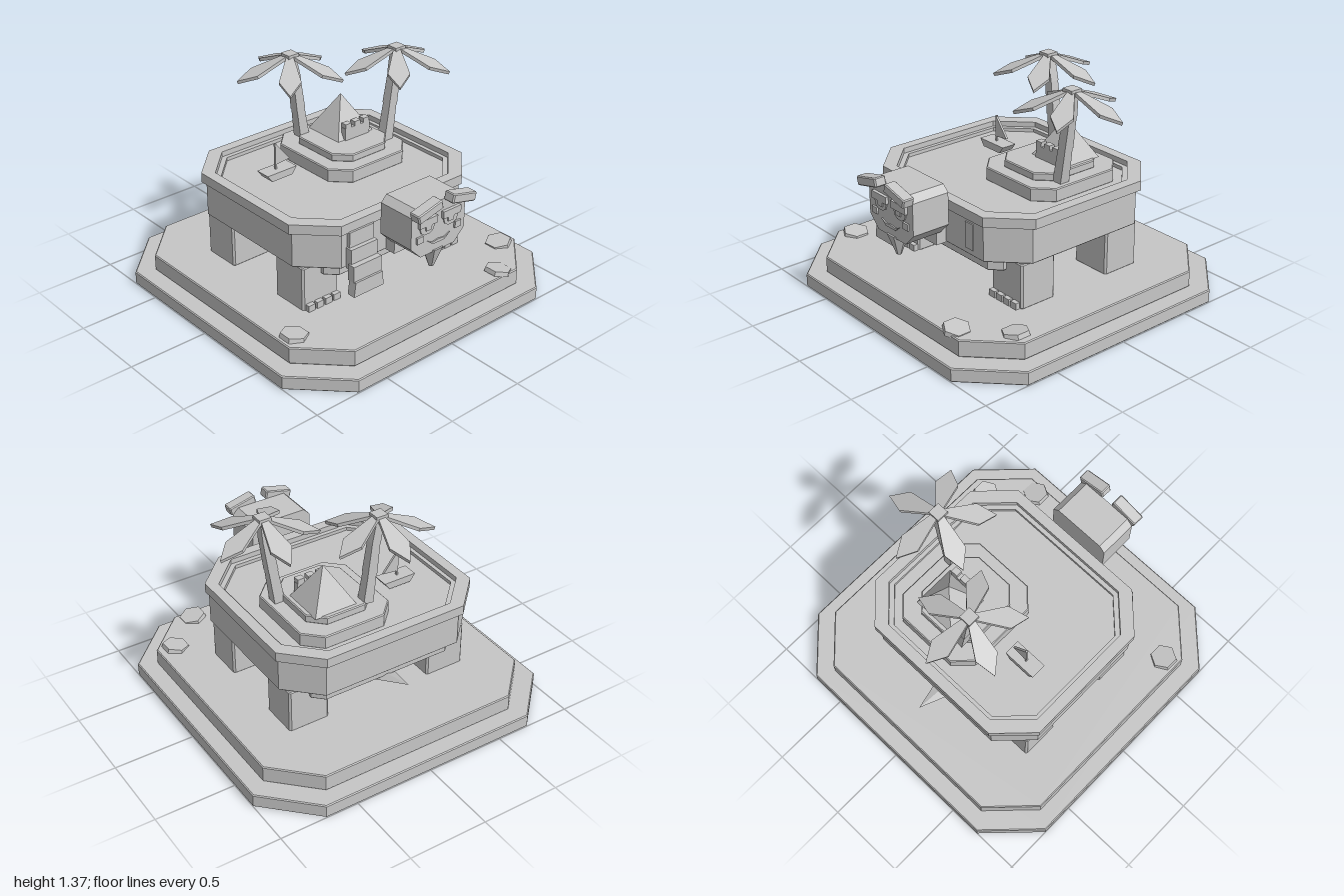
import * as THREE from 'three';

const stone = new THREE.MeshStandardMaterial({ color: 0xc6c6c6 });
stone.name = 'pale grey';

// Add a faceted mesh to a parent
function add(parent, name, geo, x = 0, y = 0, z = 0, rx = 0, ry = 0, rz = 0) {
  const g = geo.index ? geo.toNonIndexed() : geo;
  g.computeVertexNormals();
  const m = new THREE.Mesh(g, stone);
  m.name = name;
  m.position.set(x, y, z);
  m.rotation.set(rx, ry, rz);
  parent.add(m);
  return m;
}

const box = (w, h, d) => new THREE.BoxGeometry(w, h, d);
const polygon = (pts) => new THREE.Shape(pts.map(([x, y]) => new THREE.Vector2(x, y)));

// Rectangle outline with cut corners
function octPoints(w, d, c) {
  const a = w / 2, b = d / 2;
  return [[-a + c, -b], [a - c, -b], [a, -b + c], [a, b - c], [a - c, b], [-a + c, b], [-a, b - c], [-a, -b + c]];
}

// Slab with slightly bevelled edges, lying flat; optional hole
function slab(w, d, c, h, hole, bevel = 0.006) {
  const s = polygon(octPoints(w - 2 * bevel, d - 2 * bevel, c));
  if (hole) s.holes.push(polygon(octPoints(...hole).reverse()));
  const g = new THREE.ExtrudeGeometry(s, {
    depth: h - 2 * bevel, bevelEnabled: bevel > 0, bevelSize: bevel, bevelThickness: bevel, bevelSegments: 1,
  });
  g.translate(0, 0, bevel);
  return g.rotateX(-Math.PI / 2);
}

// Flat outline in the xy plane pushed out along z
const plate = (pts, depth) => new THREE.ExtrudeGeometry(polygon(pts), { depth, bevelEnabled: false });

// Palm with a three-piece leaning trunk and five drooping leaves
function palm(parent, path, z) {
  const tree = new THREE.Group();
  tree.name = 'palmTree';
  parent.add(tree);
  for (let i = 0; i < path.length - 1; i++) {
    const [x0, y0] = path[i], [x1, y1] = path[i + 1];
    const len = Math.hypot(x1 - x0, y1 - y0);
    const g = new THREE.CylinderGeometry(0.04 - i * 0.002, 0.047 - i * 0.003, len + 0.012, 4).rotateY(Math.PI / 4);
    add(tree, 'trunkSegment', g, (x0 + x1) / 2, (y0 + y1) / 2, z, 0, 0, -Math.atan2(x1 - x0, y1 - y0));
  }
  const [tx, ty] = path[path.length - 1];
  add(tree, 'crown', box(0.075, 0.035, 0.075), tx, ty, z);
  const outline = [[-0.02, 0.02], [0.02, 0.02], [0.065, 0.23], [0, 0.345], [-0.065, 0.23]];
  for (let i = 0; i < 5; i++) {
    const g = plate(outline, 0.02).rotateX(-Math.PI / 2).rotateX(-0.38).rotateY(i * Math.PI * 0.4 - 0.05);
    add(tree, 'palmLeaf', g, tx, ty - 0.005, z);
  }
}

export function createModel() {
  const model = new THREE.Group();
  model.name = 'islandTurtle';
  const group = (name) => {
    const g = new THREE.Group();
    g.name = name;
    model.add(g);
    return g;
  };

  // Stepped base
  add(model, 'lowerBase', slab(2, 2, 0.29, 0.085));
  add(model, 'upperBase', slab(1.79, 1.79, 0.25, 0.105), 0, 0.085, 0);

  // Hexagonal stepping stones
  for (const [x, y, z, tilt] of [[-0.8, 0.197, 0.57, -0.12], [0.545, 0.195, 0.83, -0.2], [0.78, 0.195, 0.61, 0.16]])
    add(model, 'flatRock', new THREE.CylinderGeometry(0.08, 0.085, 0.028, 6), x, y, z, 0, 0, tilt);

  // Legs and toes
  for (const side of [-1, 1]) {
    for (const z of [0.297, -0.347]) add(model, 'leg', slab(0.262, 0.246, 0.008, 0.28), side * 0.48, 0.188, z);
    for (let i = 0; i < 4; i++)
      add(model, 'toe', box(0.048, 0.04, 0.03), side * 0.475 + (i - 1.5) * 0.062, 0.21, 0.433);
  }

  // Belly, shell and pool rim
  add(model, 'belly', slab(0.96, 1.055, 0.06, 0.09), 0, 0.39, -0.022);
  add(model, 'shell', slab(1.295, 1.175, 0.19, 0.225), 0, 0.475, -0.022);
  add(model, 'poolRim', slab(1.34, 1.215, 0.205, 0.06, [1.21, 1.085, 0.19], 0), 0, 0.695, -0.03);
  add(model, 'poolLedge', slab(1.25, 1.12, 0.19, 0.025, [1.16, 1.03, 0.18], 0), 0, 0.697, -0.03);
  add(model, 'window', box(0.065, 0.16, 0.009), 0.337, 0.595, 0.569);

  // Waterfall down the front
  const fall = group('waterfall');
  add(fall, 'upperFall', box(0.18, 0.11, 0.03), -0.325, 0.645, 0.575);
  add(fall, 'middleFall', box(0.195, 0.13, 0.045), -0.328, 0.54, 0.593);
  add(fall, 'lowerFall', box(0.205, 0.1, 0.05), -0.332, 0.465, 0.625);
  add(fall, 'splash', plate([[-0.112, 0], [0.108, 0], [0.1, 0.09], [-0.1, 0.09]], 0.055), -0.332, 0.33, 0.608);

  // Island tiers, peak and battlement
  const island = group('island');
  add(island, 'lowerTier', slab(0.6, 0.65, 0.1, 0.085), 0.185, 0.697, -0.165);
  add(island, 'upperTier', slab(0.43, 0.48, 0.085, 0.05), 0.185, 0.78, -0.16);
  add(island, 'peak', new THREE.ConeGeometry(0.14 * Math.SQRT2, 0.24, 4).rotateY(Math.PI / 4), 0.235, 0.945, -0.235);
  add(island, 'castleWall', box(0.19, 0.085, 0.04), 0.24, 0.865, -0.105);
  for (const x of [0.17, 0.24, 0.31]) add(island, 'battlement', box(0.045, 0.03, 0.04), x, 0.92, -0.105);
  palm(island, [[0.025, 0.82], [0, 1.0], [-0.025, 1.2], [-0.055, 1.35]], -0.355);
  palm(island, [[0.42, 0.785], [0.455, 1.01], [0.485, 1.2], [0.5, 1.35]], -0.035);

  // Sailing boat
  const boat = group('boat');
  add(boat, 'hull', plate([[-0.075, 0], [0.075, 0], [0.108, 0.045], [-0.108, 0.045]], 0.1), -0.31, 0.72, -0.225);
  add(boat, 'mast', box(0.01, 0.17, 0.014), -0.32, 0.845, -0.175);
  add(boat, 'sail', plate([[0, 0.03], [0.1, 0.04], [0, 0.165]], 0.014), -0.32, 0.765, -0.182);

  // Neck and head
  const head = group('head');
  add(head, 'neck', box(0.24, 0.145, 0.2), 0, 0.547, 0.535);
  const face = [[-0.13, 0.555], [0.13, 0.555], [0.205, 0.63], [0.205, 0.825], [0.165, 0.865],
    [-0.165, 0.865], [-0.205, 0.825], [-0.205, 0.63]];
  add(head, 'skull', plate(face, 0.245), 0, 0, 0.61);
  add(head, 'beard', new THREE.CylinderGeometry(0.065, 0.016, 0.13, 6).rotateY(Math.PI / 6), 0, 0.5, 0.81);
  add(head, 'mouth', plate([[-0.085, 0.642], [-0.045, 0.624], [0, 0.63], [0.045, 0.624], [0.085, 0.642],
    [0.045, 0.61], [-0.045, 0.61]].reverse(), 0.009), 0, 0, 0.854);

  // Sleepy eyes, cheeks and heavy brows, mirrored
  for (const s of [-1, 1]) {
    add(head, 'eye', plate([[-0.06, 0.03], [-0.045, -0.015], [-0.02, -0.03], [0.02, -0.03], [0.045, -0.015], [0.06, 0.03]], 0.009),
      s * 0.09, 0.722, 0.854);
    add(head, 'pupil', plate([[-0.024, 0.03], [-0.02, -0.005], [0.02, -0.005], [0.024, 0.03]], 0.008), s * 0.085, 0.722, 0.862);
    add(head, 'eyelid', box(0.135, 0.045, 0.02), s * 0.09, 0.77, 0.864);
    add(head, 'cheek', box(0.045, 0.04, 0.014), s * 0.145, 0.672, 0.86);
    add(head, 'eyebrow', slab(0.185, 0.075, 0.004, 0.055), s * 0.122, 0.84, 0.89, 0, 0, -s * 0.24);
  }

  // Pointed tail, flattened and angled up
  const tail = new THREE.ConeGeometry(0.075, 0.26, 4).rotateX(-Math.PI / 2).scale(1, 0.3, 1);
  add(model, 'tail', tail, 0, 0.415, -0.635, 0.34);

  return model;
}
